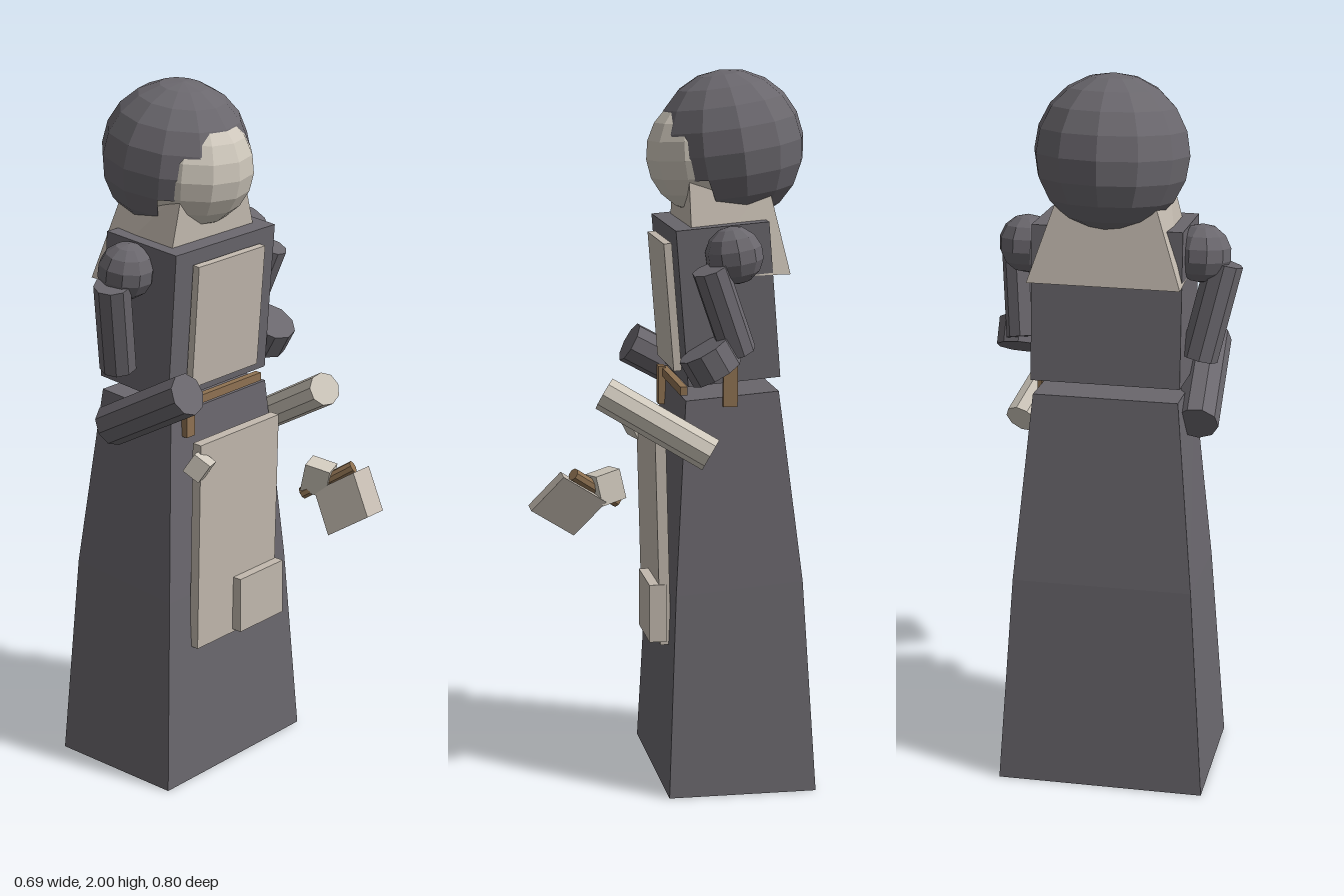
import * as THREE from 'three';

const mat = (name, color, side = THREE.FrontSide) => {
  const m = new THREE.MeshStandardMaterial({ color, side, flatShading: true });
  m.name = name;
  return m;
};

export function createModel() {
  const group = new THREE.Group();
  const cloth = mat('dark cloth', 0x6a676d, THREE.DoubleSide);
  const linen = mat('linen', 0xc2b9ae);
  const skin = mat('pale skin', 0xcfc8bc);
  const leather = mat('brown leather', 0x8f7252);

  const add = (name, geometry, material, pos = [0, 0, 0], rot = [0, 0, 0]) => {
    const mesh = new THREE.Mesh(geometry, material);
    mesh.name = name;
    mesh.position.set(...pos);
    mesh.rotation.set(...rot);
    group.add(mesh);
    return mesh;
  };
  const box = (name, size, material, pos, rot) =>
    add(name, new THREE.BoxGeometry(...size), material, pos, rot);

  // Cylinder running from point a to point b
  const rod = (name, a, b, radius, sides, material) => {
    const from = new THREE.Vector3(...a), to = new THREE.Vector3(...b);
    const dir = to.clone().sub(from);
    const mesh = add(name, new THREE.CylinderGeometry(radius, radius, dir.length(), sides), material);
    mesh.position.copy(from).add(to).multiplyScalar(0.5);
    mesh.quaternion.setFromUnitVectors(new THREE.Vector3(0, 1, 0), dir.normalize());
    return mesh;
  };

  // Stack of four-cornered rings; corners run front right, front left, back left, back right
  const loft = (rings) => {
    const out = [];
    const quad = (a, b, c, d) => out.push(...a, ...b, ...c, ...a, ...c, ...d);
    const first = rings[0], last = rings[rings.length - 1];
    quad(first[0], first[3], first[2], first[1]);
    quad(...last);
    for (let r = 0; r < rings.length - 1; r++)
      for (let i = 0; i < 4; i++) {
        const j = (i + 1) % 4;
        quad(rings[r][i], rings[r][j], rings[r + 1][j], rings[r + 1][i]);
      }
    const g = new THREE.BufferGeometry();
    g.setAttribute('position', new THREE.Float32BufferAttribute(out, 3));
    g.computeVertexNormals();
    return g;
  };
  const ring = (w, yFront, zFront, yBack, zBack, wBack = w) => [
    [-w, yFront, zFront], [w, yFront, zFront], [wBack, yBack, zBack], [-wBack, yBack, zBack]];

  // Skirt, torso and shoulder cape
  add('skirt', loft([
    ring(0.29, 0, 0.03, 0, -0.387),
    ring(0.25, 0.57, 0.005, 0.6, -0.352),
    ring(0.2, 1.11, -0.03, 1.13, -0.29),
  ]), cloth);
  box('torso', [0.41, 0.43, 0.258], cloth, [0, 1.375, -0.147], [0.08, 0, 0]);
  add('cape', loft([
    ring(0.202, 1.45, -0.05, 1.455, -0.318, 0.208),
    ring(0.125, 1.74, -0.05, 1.7, -0.27),
  ]), linen);

  // Apron, bib and pocket
  box('bib', [0.275, 0.355, 0.022], linen, [0, 1.36, -0.004], [0.08, 0, 0]);
  box('apron', [0.333, 0.625, 0.03], linen, [0, 0.722, 0.028], [0.025, 0, 0]);
  box('pocket', [0.187, 0.165, 0.05], linen, [0.077, 0.502, 0.042]);

  // Belt and hanging straps
  box('belt', [0.34, 0.024, 0.02], leather, [0, 1.132, -0.03]);
  box('frontStrap', [0.034, 0.11, 0.02], leather, [-0.142, 1.095, -0.018]);
  box('sideStrap', [0.012, 0.125, 0.04], leather, [0.208, 1.155, -0.152]);

  // Head and hood; the hood has a window cut out around the face
  add('head', new THREE.SphereGeometry(0.168, 12, 10), skin, [0, 1.77, -0.12], [0.1, 0, 0]);
  const sphere = new THREE.SphereGeometry(0.211, 12, 10).toNonIndexed();
  const p = sphere.attributes.position;
  const kept = [];
  for (let i = 0; i < p.count; i += 3) {
    const c = new THREE.Vector3();
    for (let k = 0; k < 3; k++) c.add(new THREE.Vector3().fromBufferAttribute(p, i + k));
    const turn = Math.abs(THREE.MathUtils.radToDeg(Math.atan2(c.x, c.z)));
    const lift = THREE.MathUtils.radToDeg(Math.asin(c.y / c.length()));
    const open = lift < 18 && turn < (lift < -18 ? 60 : 30);
    if (!open) for (let k = 0; k < 3; k++) kept.push(p.getX(i + k), p.getY(i + k), p.getZ(i + k));
  }
  const hood = new THREE.BufferGeometry();
  hood.setAttribute('position', new THREE.Float32BufferAttribute(kept, 3));
  hood.computeVertexNormals();
  add('hood', hood, cloth, [0, 1.789, -0.187], [0.14, 0, 0]);

  // Shoulders
  for (const s of [-1, 1])
    add(s > 0 ? 'leftShoulder' : 'rightShoulder', new THREE.SphereGeometry(0.08, 10, 7), cloth,
      [s * 0.24, 1.515, -0.155], [0.15, 0, 0]);

  // Left arm with rolled sleeve and bare forearm
  rod('leftUpperArm', [0.28, 1.485, -0.08], [0.25, 1.25, -0.165], 0.05, 9, cloth);
  add('leftSleeveRoll', new THREE.CylinderGeometry(0.075, 0.075, 0.078, 10), cloth,
    [0.268, 1.232, -0.085], [0.52, 0, 0]);
  rod('leftForearm', [0.282, 0.975, -0.085], [0.195, 1.138, 0.195], 0.048, 9, skin);

  // Right arm
  rod('rightUpperArm', [-0.3, 1.49, -0.15], [-0.24, 1.23, -0.19], 0.052, 9, cloth);
  rod('rightForearm', [-0.24, 1.05, -0.22], [-0.23, 1.205, 0.06], 0.06, 9, cloth);
  box('rightHand', [0.06, 0.06, 0.055], skin, [-0.172, 0.975, 0.05], [0.6, 0.3, -0.35]);

  // Left hand and the tool it holds
  box('leftHand', [0.065, 0.085, 0.075], skin, [0.18, 0.875, 0.19], [0.22, 0.35, 0]);
  rod('toolHandle', [0.15, 0.825, 0.155], [0.217, 0.92, 0.285], 0.018, 8, leather);
  const corner = [0.14, 0.82, 0.4], across = [0.07, 0, 0];
  const up = [0.04, 0.1, -0.085], back = [-0.025, -0.08, -0.12];
  const at = (i, j, k) => corner.map((v, n) => v + i * across[n] + j * up[n] + k * back[n]);
  const level = (j) => [at(0, j, 0), at(1, j, 0), at(1, j, 1), at(0, j, 1)];
  add('toolBlock', loft([level(0), level(1)]), linen);

  return group;
}
